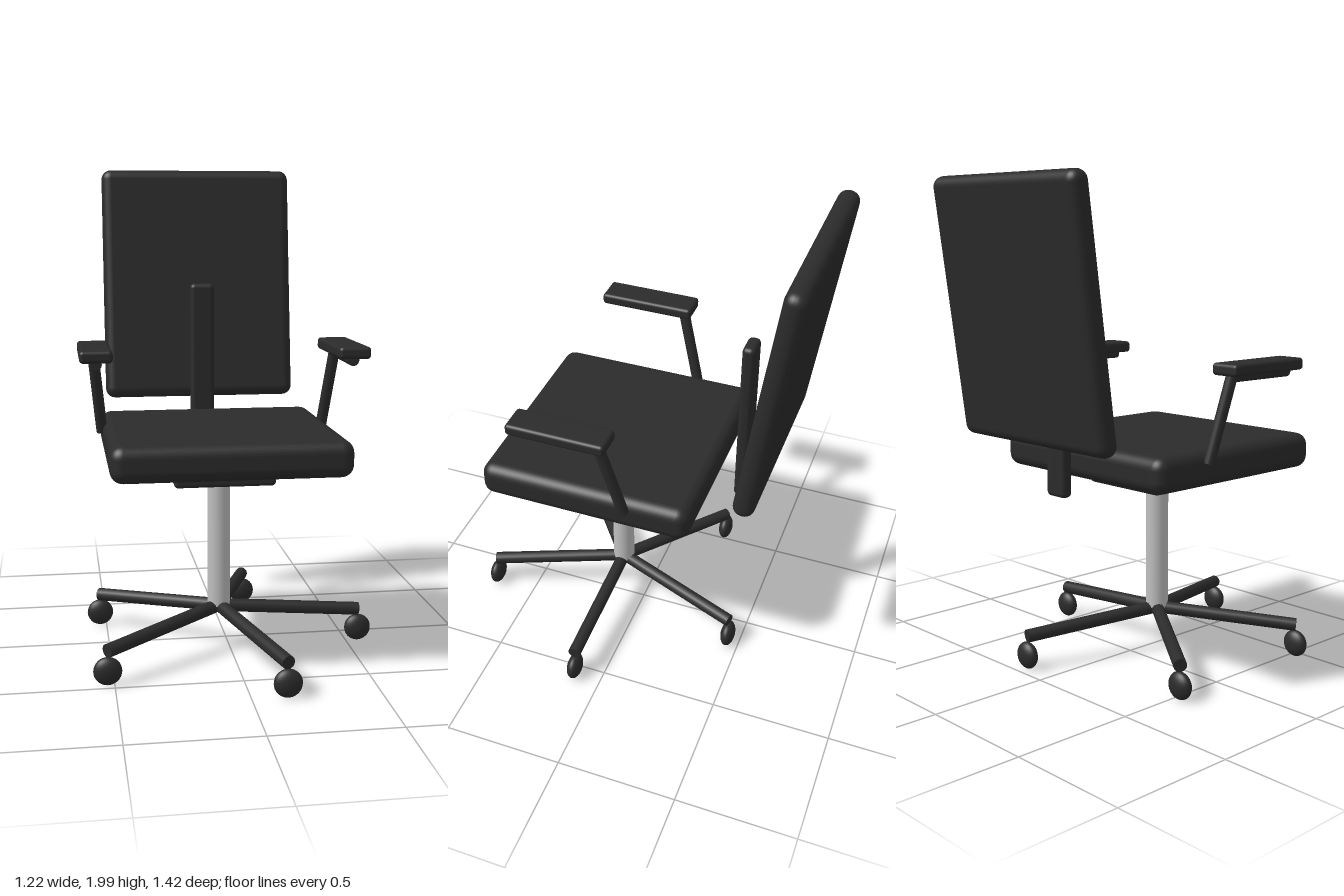
import * as THREE from 'three';
import { RoundedBoxGeometry } from 'three/addons/geometries/RoundedBoxGeometry.js';

const CX = -0.045, CZ = 0.115; // axis of the gas column

export function createModel() {
  const model = new THREE.Group();
  model.name = 'officeChair';
  const black = new THREE.MeshStandardMaterial({ color: 0x2b2b2b });
  black.name = 'charcoal black';
  const silver = new THREE.MeshStandardMaterial({ color: 0xc0c0c0 });
  silver.name = 'silver';

  const add = (name, geometry, x, y, z, material = black) => {
    const mesh = new THREE.Mesh(geometry, material);
    mesh.name = name;
    mesh.position.set(x, y, z);
    model.add(mesh);
    return mesh;
  };
  const slab = (name, w, h, d, r, x, y, z) => add(name, new RoundedBoxGeometry(w, h, d, 4, r), x, y, z);

  // Straight round bar between two points
  const bar = (name, a, b, r, segments = 16) => {
    const dir = b.clone().sub(a);
    const mid = a.clone().add(b).multiplyScalar(0.5);
    const mesh = add(name, new THREE.CylinderGeometry(r, r, dir.length(), segments), mid.x, mid.y, mid.z);
    mesh.quaternion.setFromUnitVectors(new THREE.Vector3(0, 1, 0), dir.normalize());
    return mesh;
  };

  // Seat, mechanism plate and gas column
  slab('seat', 0.93, 0.145, 0.892, 0.05, CX, 0.877, CZ);
  slab('seatPlate', 0.405, 0.1, 0.405, 0.015, CX, 0.782, CZ);
  add('gasColumn', new THREE.CylinderGeometry(0.047, 0.047, 0.56, 32), CX, 0.47, CZ, silver);

  // Tilted backrest and its upright
  slab('backrest', 0.855, 1.03, 0.088, 0.042, CX, 1.482, -0.6).rotation.x = -0.138;
  slab('backUpright', 0.107, 0.74, 0.052, 0.02, CX, 1.122, -0.426);

  // Armrests on bent supports
  for (const side of [-1, 1]) {
    const x = CX + side * 0.502;
    const elbow = new THREE.Vector3(x, 1.233, 0.015);
    slab('armPad', 0.127, 0.048, 0.407, 0.015, x, 1.262, 0.172);
    bar('armRail', elbow, new THREE.Vector3(x, 1.231, 0.34), 0.023);
    bar('armStrut', elbow, new THREE.Vector3(CX + side * 0.467, 0.9, -0.07), 0.023);
    add('armElbow', new THREE.SphereGeometry(0.023, 16, 12), x, 1.233, 0.015);
  }

  // Five-legged base with flattened casters
  for (let i = 0; i < 5; i++) {
    const a = (i * Math.PI * 2) / 5;
    const at = (r, y) => new THREE.Vector3(CX + r * Math.cos(a), y, CZ + r * Math.sin(a));
    bar('baseLeg', at(0, 0.185), at(0.597, 0.139), 0.027);
    const w = at(0.595, 0.06);
    add('caster', new THREE.SphereGeometry(0.056, 24, 16), w.x, 0.058, w.z).scale.set(1, 1, 0.55);
  }
  add('baseHub', new THREE.SphereGeometry(0.03, 16, 12), CX, 0.185, CZ);

  return model;
}
